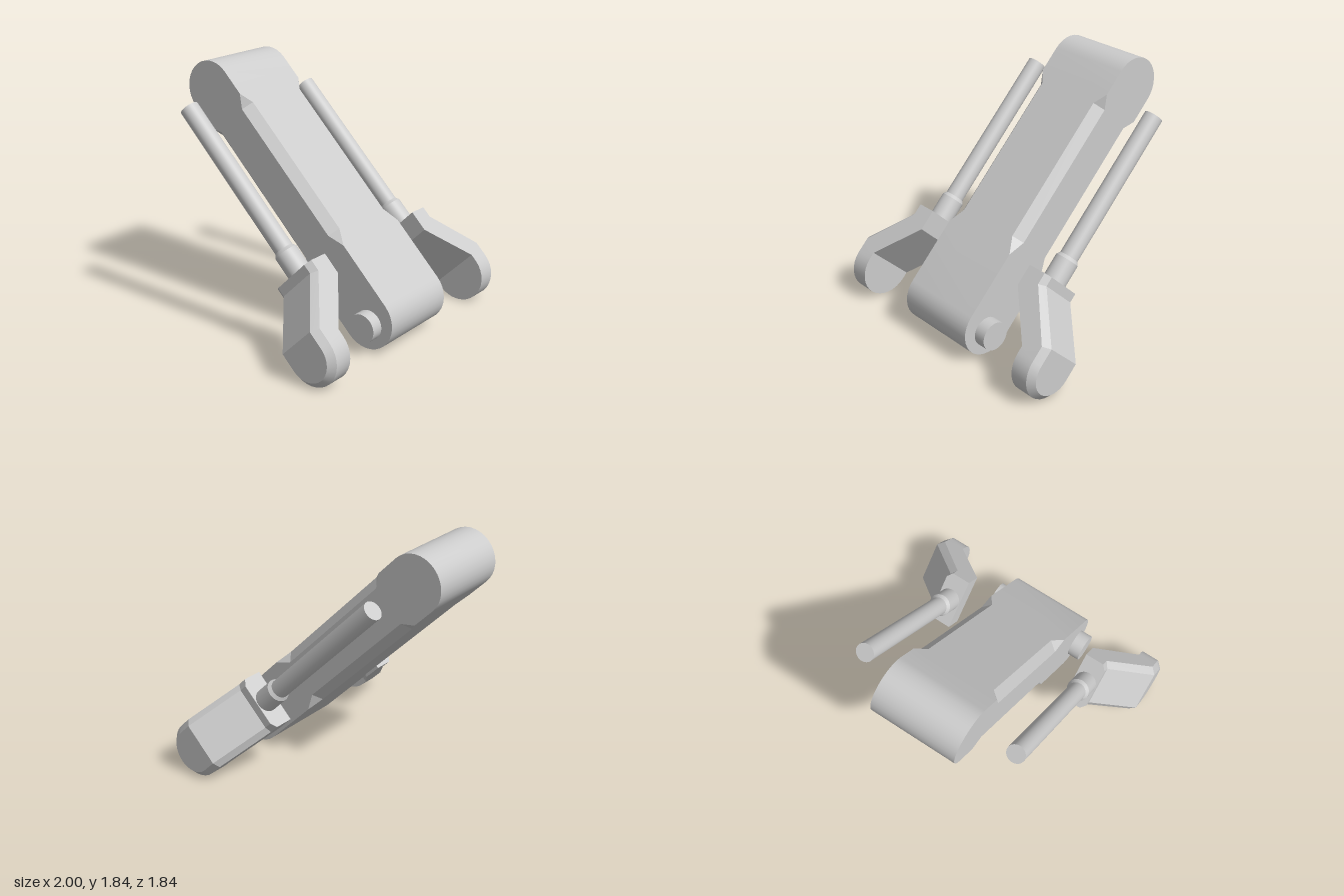
import * as THREE from 'three';
import { toCreasedNormals } from 'three/addons/utils/BufferGeometryUtils.js';

const material = new THREE.MeshStandardMaterial({ color: 0xcccccc });

function add(parent, geometry, name, x = 0, y = 0, z = 0) {
  const mesh = new THREE.Mesh(geometry, material);
  mesh.name = name;
  mesh.position.set(x, y, z);
  parent.add(mesh);
  return mesh;
}

// Skin a stack of rings, listed from top to bottom, and close both ends
function loft(rings, mirror = false) {
  const pos = [];
  const tri = (a, b, c) => {
    const [p, q, r] = [a, b, c].map((v) => new THREE.Vector3(mirror ? -v[0] : v[0], v[1], v[2]));
    const area = q.clone().sub(p).cross(r.clone().sub(p)).length();
    if (area < 1e-8) return;
    for (const v of mirror ? [p, r, q] : [p, q, r]) pos.push(v.x, v.y, v.z);
  };
  const n = rings[0].length;
  for (let i = 0; i + 1 < rings.length; i++) {
    for (let j = 0; j < n; j++) {
      const k = (j + 1) % n;
      const a = rings[i][j], b = rings[i][k], c = rings[i + 1][k], d = rings[i + 1][j];
      tri(a, d, c);
      tri(a, c, b);
    }
  }
  const first = rings[0], last = rings[rings.length - 1];
  for (let j = 1; j + 1 < n; j++) {
    tri(first[0], first[j], first[j + 1]);
    tri(last[0], last[j + 1], last[j]);
  }
  const g = new THREE.BufferGeometry();
  g.setAttribute('position', new THREE.Float32BufferAttribute(pos, 3));
  return toCreasedNormals(g, 0.3);
}

const STEPS = 16;
const N = 0.658; // shared centre line of arm, rods and legs

// Round-ended arm with chamfered long edges
function armGeometry() {
  const w = 0.323, r = 0.207, top = 1.653, bottom = -0.331;
  const ring = (y, h, c) => [
    [-w + c, h], [w - c, h], [w, h - c], [w, c - h],
    [w - c, -h], [c - w, -h], [-w, c - h], [-w, h - c],
  ].map(([x, z]) => [x, y, z]);
  const rings = [];
  for (let i = 0; i <= STEPS / 2; i++) {
    const a = (i / STEPS) * Math.PI;
    rings.push(ring(top + r * Math.cos(a), r * Math.sin(a), 0));
  }
  rings.push(ring(1.46, r, 0), ring(1.37, r, 0.065), ring(0.286, r, 0.065), ring(0.165, r, 0));
  for (let i = STEPS / 2; i >= 0; i--) {
    const a = (i / STEPS) * Math.PI;
    rings.push(ring(bottom - r * Math.cos(a), r * Math.sin(a), 0));
  }
  return loft(rings);
}

// Cranked leg: short upright, slanted middle, rounded foot, bevelled outside
function legGeometry(mirror) {
  const r = 0.204, c = 0.045, foot = -0.362;
  // x and y of the inner edge, outer edge and outer face
  const ring = ([xi, xe, xo], [yi, ye, yo], h, ho) => [
    [xi, yi, h], [xe, ye, h], [xo, yo, ho], [xo, yo, -ho], [xe, ye, -h], [xi, yi, -h],
  ];
  const high = [0.52, 0.665, 0.7], low = [0.815, 0.955, 1];
  const rings = [
    ring(high, [0.171, 0.171, 0.171], r, r - c),
    ring(high, [0.015, 0.086, 0.103], r, r - c),
    ring(low, [-0.313, -0.251, -0.234], r, r - c),
  ];
  for (let i = 0; i <= STEPS / 2; i++) {
    const a = (i / STEPS) * Math.PI;
    const s = Math.sin(a), k = Math.cos(a);
    const y = foot - r * s;
    rings.push(ring(low, [y, y, foot - (r - c) * s], r * k, (r - c) * k));
  }
  return loft(rings, mirror);
}

// Rod with a tapered collar at its foot
function rodGeometry(top) {
  const profile = [[0, 0.15], [0.085, 0.15], [0.085, 0.335], [0.068, 0.36], [0.068, top], [0, top]];
  const g = new THREE.LatheGeometry(profile.map(([x, y]) => new THREE.Vector2(x, y)), 32);
  return toCreasedNormals(g, 0.4);
}

export function createModel() {
  const model = new THREE.Group();
  model.name = 'armWithSideLegs';

  // Everything leans back together
  const lean = new THREE.Group();
  lean.name = 'leaningAssembly';
  lean.rotation.x = -Math.PI / 4;
  model.add(lean);

  add(lean, armGeometry(), 'arm', 0, 0, N);
  const pin = add(lean, new THREE.CylinderGeometry(0.106, 0.106, 0.83, 32), 'pivotPin', 0, -0.359, 0.65);
  pin.rotation.z = Math.PI / 2;

  for (const side of [1, -1]) {
    const label = side > 0 ? 'left' : 'right';
    add(lean, legGeometry(side < 0), label + 'Leg', 0, 0, N);
    add(lean, rodGeometry(side > 0 ? 1.495 : 1.555), label + 'Rod', side * 0.61, 0, N);
  }
  return model;
}
